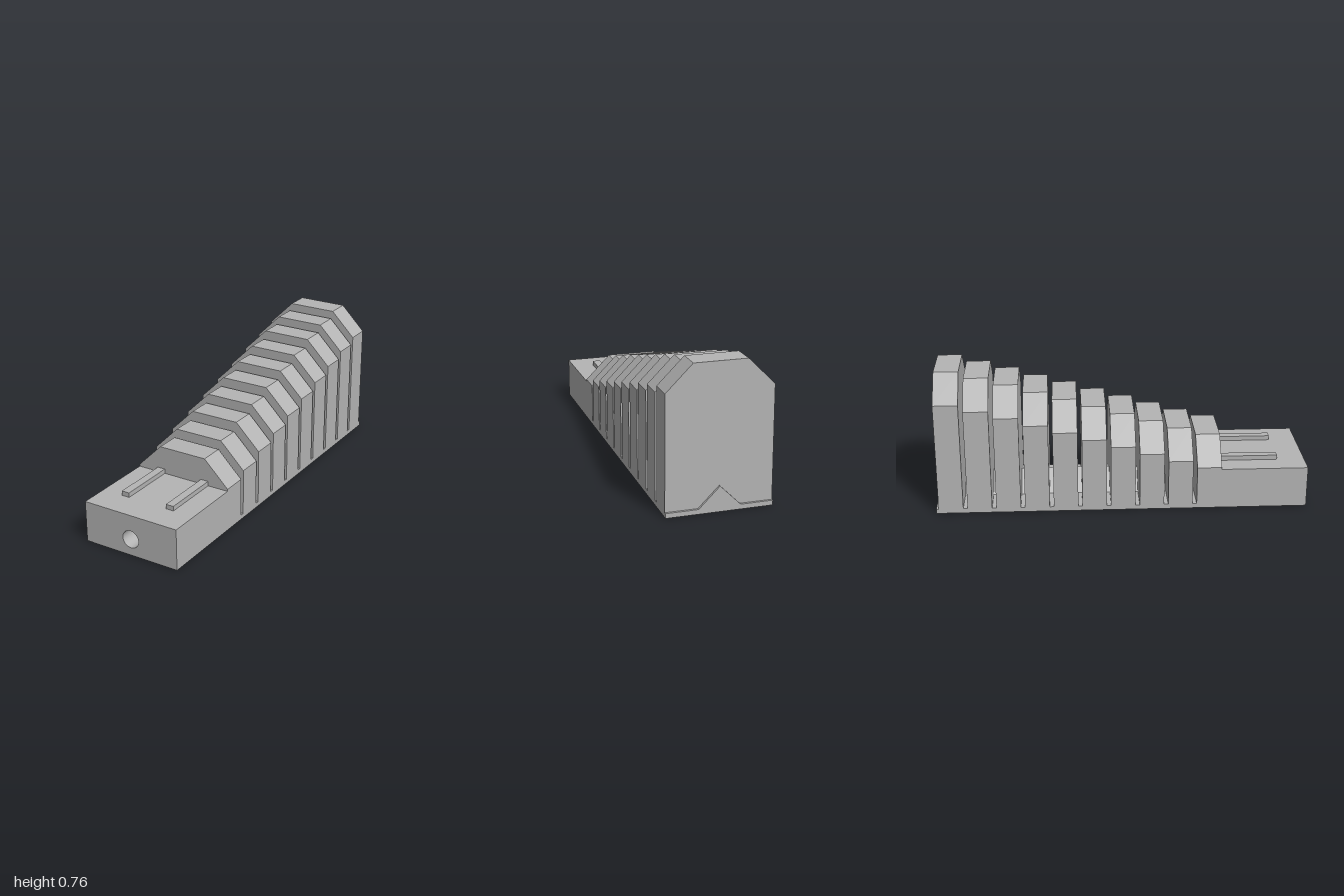
import * as THREE from 'three';

const HALF = 0.275;          // half width of the whole block
const CHAMFER = 0.1375;      // 45 degree shoulder cut
const DECK = 0.225;          // height of the front deck
const PITCH = 0.1545;        // spacing of the segments
const LENGTH = 0.132;        // length of one segment
const STEP_Z = 0.535;        // where the deck meets the first segment

// Floor of the slots: flat with a ridge in the middle
const FLOOR = [[-HALF, 0.025], [-0.108, 0.025], [0, 0.133], [0.108, 0.025], [HALF, 0.025]];
const TOPS = [0.374, 0.414, 0.459, 0.503, 0.547, 0.591, 0.634, 0.679, 0.719, 0.757];

const outline = (points) => new THREE.Shape(points.map(([x, y]) => new THREE.Vector2(x, y)));

export function createModel() {
  const group = new THREE.Group();
  const grey = new THREE.MeshStandardMaterial({ color: 0xb4b4b4 });

  // Extrudes an outline in xy from zBack to zFront
  function prism(name, shape, zBack, zFront) {
    const geometry = new THREE.ExtrudeGeometry(shape, {
      depth: zFront - zBack, bevelEnabled: false, curveSegments: 48,
    });
    geometry.translate(0, 0, zBack);
    const mesh = new THREE.Mesh(geometry, grey);
    mesh.name = name;
    group.add(mesh);
  }

  // Front deck with a round bore
  const deck = outline([[-HALF, 0], [HALF, 0], [HALF, DECK], [-HALF, DECK]]);
  const bore = new THREE.Path();
  bore.absarc(0, 0.09, 0.0475, 0, Math.PI * 2, true);
  deck.holes.push(bore);
  prism('frontDeck', deck, STEP_Z, 1);

  // Wedge at the end of the bore
  const wedge = new THREE.Shape();
  wedge.moveTo(0, 0.087);
  wedge.absarc(0, 0.09, 0.0475, -Math.PI * 0.75, -Math.PI * 0.25, false);
  wedge.closePath();
  prism('boreWedge', wedge, STEP_Z, STEP_Z + 0.03);

  // Two rails on the deck
  for (const side of [-1, 1]) {
    const rail = new THREE.Mesh(new THREE.BoxGeometry(0.044, 0.025, 0.315), grey);
    rail.name = side > 0 ? 'leftRail' : 'rightRail';
    rail.position.set(side * 0.135, DECK + 0.0125, STEP_Z + 0.1575);
    group.add(rail);
  }

  // Base under the segments, showing as the slot floors
  const baseFront = STEP_Z - LENGTH;
  prism('slottedBase', outline([[HALF, 0], ...[...FLOOR].reverse(), [-HALF, 0]]), -1, baseFront);

  // Ten chamfered segments rising towards the back
  TOPS.forEach((top, i) => {
    const roof = [
      [HALF, top - CHAMFER], [HALF - CHAMFER, top],
      [CHAMFER - HALF, top], [-HALF, top - CHAMFER],
    ];
    const bottom = i === 0 ? [[-HALF, 0], [HALF, 0]] : FLOOR;
    const front = STEP_Z - i * PITCH;
    prism('segment' + (i + 1), outline([...bottom, ...roof]), front - LENGTH, front);
  });

  return group;
}
